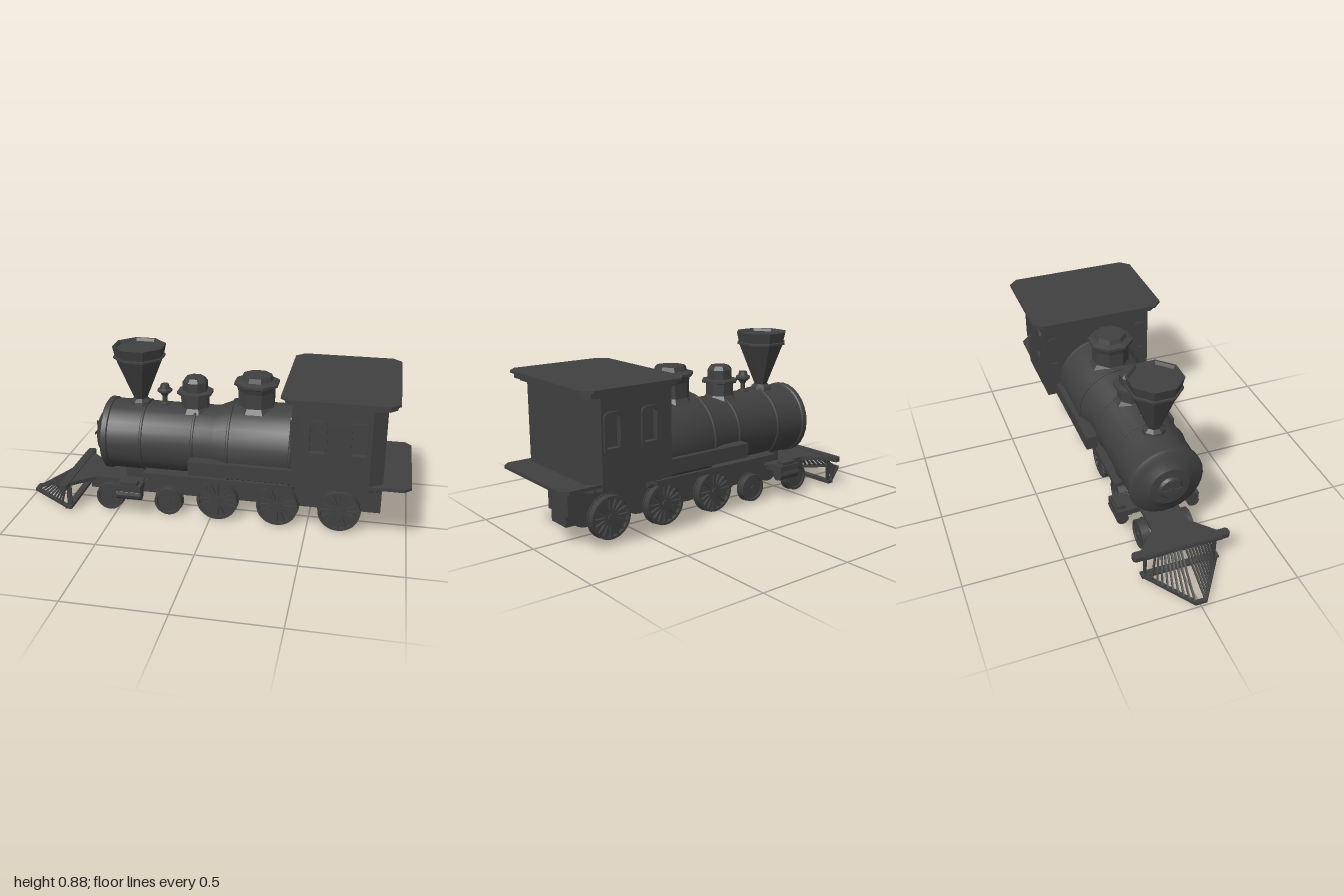
import * as THREE from 'three';
import { toCreasedNormals } from 'three/addons/utils/BufferGeometryUtils.js';

const iron = new THREE.MeshStandardMaterial({ color: 0x404040, side: THREE.DoubleSide });
const flatIron = new THREE.MeshStandardMaterial({ color: 0x404040, side: THREE.DoubleSide, flatShading: true });

export function createModel() {
  const model = new THREE.Group();

  const add = (name, geo, x = 0, y = 0, z = 0, mat = flatIron, parent = model) => {
    const m = new THREE.Mesh(geo, mat);
    m.name = name;
    m.position.set(x, y, z);
    parent.add(m);
    return m;
  };
  // Box given by its limits
  const box = (name, x0, x1, y0, y1, z0, z1) =>
    add(name, new THREE.BoxGeometry(x1 - x0, y1 - y0, z1 - z0), (x0 + x1) / 2, (y0 + y1) / 2, (z0 + z1) / 2);
  // Straight bar between two points
  const bar = (name, a, b, w, h = w) => {
    const A = new THREE.Vector3(...a), B = new THREE.Vector3(...b);
    const m = add(name, new THREE.BoxGeometry(w, h, A.distanceTo(B)));
    m.position.copy(A).lerp(B, 0.5);
    m.lookAt(B);
    return m;
  };
  // Horizontal plate: half outline [x, z] mirrored over z, between two heights
  const plate = (name, half, y0, y1) => {
    const pts = [...half, ...half.slice().reverse().map(([x, z]) => [x, -z])];
    const shape = new THREE.Shape(pts.map(([x, z]) => new THREE.Vector2(x, z)));
    const geo = new THREE.ExtrudeGeometry(shape, { depth: y1 - y0, bevelEnabled: false });
    return add(name, geo.rotateX(Math.PI / 2), 0, y1, 0);
  };
  // Rectangle with cut corners
  const cutPlate = (name, x0, x1, z, c, y0, y1) =>
    plate(name, [[x0, z - c], [x0 + c, z], [x1 - c, z], [x1, z - c]], y0, y1);
  // Upright turned part with eight flat sides
  const turned = (name, profile, x) =>
    add(name, new THREE.LatheGeometry(profile.map(p => new THREE.Vector2(p[0] * 1.08, p[1])), 8).rotateY(Math.PI / 8), x);

  // Boiler, turned around the long axis: [radius, x]
  const boilerProfile = [[0, 0.43], [0.215, 0.43], [0.215, 0.1], [0.181, 0.02], [0.181, -0.525], [0.188, -0.53],
    [0.188, -0.555], [0.175, -0.565], [0.15, -0.572], [0.11, -0.595], [0.1, -0.602], [0.06, -0.605], [0.05, -0.617], [0, -0.617]];
  const boiler = new THREE.LatheGeometry(boilerProfile.map(([r, x]) => new THREE.Vector2(r, -x)), 28).rotateZ(Math.PI / 2);
  add('boiler', toCreasedNormals(boiler, 0.5), 0, 0.4, 0, iron);
  for (const [x, r] of [[-0.35, 0.181], [-0.085, 0.181], [0.1, 0.215], [0.41, 0.215]])
    add('boilerBand', new THREE.TorusGeometry(r, 0.008, 6, 28).rotateY(Math.PI / 2), x, 0.4, 0, iron);
  box('doorSpindle', -0.632, -0.61, 0.393, 0.407, -0.007, 0.007);
  box('doorHandle', -0.632, -0.627, 0.35, 0.455, -0.005, 0.005);
  box('doorHandle', -0.632, -0.627, 0.395, 0.405, -0.05, 0.05);

  // Chimney, domes and bell
  turned('chimney', [[0.055, 0.565], [0.05, 0.59], [0.032, 0.605], [0.113, 0.82], [0.123, 0.822], [0.123, 0.832],
    [0.116, 0.834], [0.125, 0.877], [0.127, 0.885], [0.118, 0.885], [0.11, 0.87], [0, 0.87]], -0.388);
  turned('sandDome', [[0.085, 0.56], [0.068, 0.585], [0.068, 0.645], [0.087, 0.65], [0.087, 0.663], [0.06, 0.668],
    [0.06, 0.715], [0.045, 0.735], [0, 0.735]], -0.1);
  turned('steamDome', [[0.105, 0.59], [0.088, 0.615], [0.088, 0.69], [0.095, 0.715], [0.108, 0.722], [0.108, 0.735],
    [0.078, 0.745], [0.07, 0.768], [0, 0.768]], 0.215);
  turned('bell', [[0.025, 0.57], [0.025, 0.585], [0.012, 0.592], [0.012, 0.62], [0.02, 0.635], [0.036, 0.648],
    [0.036, 0.658], [0.024, 0.665], [0.02, 0.685], [0, 0.685]], -0.26);

  // Main frame and running boards
  box('frameUpper', -0.34, 0.865, 0.15, 0.32, -0.09, 0.09);
  box('frameLower', -0.66, 0.865, 0.095, 0.165, -0.065, 0.065);
  box('footplate', -0.34, 0.43, 0.235, 0.26, -0.18, 0.18);
  box('frontSaddle', -0.46, -0.36, 0.16, 0.25, -0.07, 0.07);
  for (const s of [-1, 1]) {
    box('runningBoard', -0.09, 0.43, 0.3, 0.372, s * 0.21 - 0.03, s * 0.21 + 0.03);
    box('pipe', -0.34, 0.43, 0.195, 0.235, s * 0.08 - 0.01, s * 0.08 + 0.01);
  }

  // Cab core, floor and roof
  plate('cabBody', [[0.425, 0.268], [0.795, 0.268], [0.795, 0.29], [0.865, 0.245]], 0.31, 0.745);
  cutPlate('cabFloor', 0.425, 1, 0.287, 0.035, 0.33, 0.345);
  cutPlate('cabUnderside', 0.425, 0.865, 0.27, 0.03, 0.307, 0.33);
  cutPlate('roofCornice', 0.41, 0.885, 0.308, 0.03, 0.733, 0.745);
  cutPlate('roofMoulding', 0.39, 0.905, 0.33, 0.035, 0.745, 0.77);
  cutPlate('roof', 0.372, 0.918, 0.355, 0.045, 0.768, 0.78);

  // Arched window outline
  const arch = (C, cx, w, y0, y1) => {
    const p = new C();
    p.moveTo(cx - w, y0);
    p.lineTo(cx + w, y0);
    p.lineTo(cx + w, y1 - w * 0.6);
    p.quadraticCurveTo(cx + w, y1, cx + w * 0.3, y1);
    p.lineTo(cx - w * 0.3, y1);
    p.quadraticCurveTo(cx - w, y1, cx - w, y1 - w * 0.6);
    p.closePath();
    return p;
  };
  const flat = depth => ({ depth, bevelEnabled: false, curveSegments: 4 });
  const windowFrame = (cx, w, y0, y1) => {
    const s = arch(THREE.Shape, cx, w, y0, y1);
    s.holes.push(arch(THREE.Path, cx, w - 0.012, y0 + 0.012, y1 - 0.012));
    return new THREE.ExtrudeGeometry(s, flat(0.014));
  };
  const wall = new THREE.Shape();
  wall.moveTo(0.425, 0.31).lineTo(0.8, 0.31).lineTo(0.8, 0.745).lineTo(0.425, 0.745).closePath();
  for (const cx of [0.547, 0.743]) wall.holes.push(arch(THREE.Path, cx, 0.036, 0.5, 0.655));
  for (const s of [-1, 1]) {
    add('cabSideWall', new THREE.ExtrudeGeometry(wall, flat(0.024)), 0, 0, s * 0.278 - 0.012);
    for (const cx of [0.547, 0.743])
      add('sideWindowFrame', windowFrame(cx, 0.047, 0.49, 0.665), 0, 0, s * 0.294 - 0.007);
    add('frontWindowFrame', windowFrame(s * 0.245, 0.03, 0.5, 0.665).rotateY(-Math.PI / 2), 0.43);
  }

  // Wheels
  const wheel = (name, x, r, s, spokes) => {
    const g = new THREE.Group();
    g.name = name;
    g.position.set(x, r + 0.005, 0);
    if (s < 0) g.rotation.y = Math.PI;
    model.add(g);
    const disc = (n, rad, z0, z1, seg = 24) =>
      add(n, new THREE.CylinderGeometry(rad, rad, z1 - z0, seg).rotateX(Math.PI / 2), 0, 0, (z0 + z1) / 2, flatIron, g);
    disc('flange', r, 0.092, 0.099);
    disc('web', r - 0.01, 0.099, 0.118);
    const rim = new THREE.Shape().absarc(0, 0, r - 0.005, 0, Math.PI * 2);
    rim.holes.push(new THREE.Path().absarc(0, 0, r - 0.018, 0, Math.PI * 2));
    add('rim', new THREE.ExtrudeGeometry(rim, { depth: 0.036, bevelEnabled: false, curveSegments: 24 }), 0, 0, 0.099, flatIron, g);
    disc('hub', r * 0.18, 0.11, 0.138, 12);
    if (!spokes) disc('cap', r * 0.72, 0.11, 0.13);
    for (let i = 0; i < spokes; i++) {
      const a = i / spokes * Math.PI * 2;
      const m = add('spoke', new THREE.BoxGeometry(r - 0.015, 0.012, 0.016), 0, 0, 0.124, flatIron, g);
      m.position.x = Math.cos(a) * r / 2;
      m.position.y = Math.sin(a) * r / 2;
      m.rotation.z = a;
    }
  };
  for (const s of [-1, 1]) {
    for (const x of [0.037, 0.348, 0.66]) wheel('drivingWheel', x, 0.111, s, 16);
    for (const x of [-0.538, -0.222]) wheel('leadingWheel', x, 0.077, s, 0);
    // Steam cylinders
    add('steamCylinder', new THREE.CylinderGeometry(0.031, 0.031, 0.13, 12).rotateZ(Math.PI / 2), -0.41, 0.142, s * 0.187);
    box('valveChest', -0.475, -0.345, 0.16, 0.193, s * 0.177 - 0.038, s * 0.177 + 0.038);
    box('valveCover', -0.455, -0.365, 0.193, 0.21, s * 0.187 - 0.022, s * 0.187 + 0.022);
    box('cylinderBracket', -0.46, -0.36, 0.15, 0.18, s * 0.1 - 0.045, s * 0.1 + 0.045);
  }

  // Front deck and buffer beam
  plate('frontDeck', [[-0.78, 0.2], [-0.735, 0.2], [-0.62, 0.095], [-0.34, 0.09]], 0.155, 0.174);
  cutPlate('bufferBeam', -0.775, -0.732, 0.245, 0.01, 0.153, 0.178);

  // Cowcatcher
  box('catcherRearBar', -0.765, -0.73, 0.02, 0.035, -0.198, 0.198);
  for (const s of [-1, 1]) {
    box('catcherPost', -0.758, -0.732, 0.03, 0.16, s * 0.178 - 0.004, s * 0.178 + 0.004);
    bar('catcherBaseBar', [-0.75, 0.027, s * 0.188], [-0.992, 0.027, s * 0.022], 0.02, 0.014);
    for (let i = 0; i < 9; i++) {
      const t = (i + 0.3) / 9;
      bar('catcherSlat', [-0.99 + 0.21 * t, 0.03, s * (0.02 + 0.155 * t)], [-0.77, 0.165, s * (0.008 + 0.14 * t)], 0.009, 0.009);
    }
  }
  box('catcherNose', -1, -0.98, 0.02, 0.035, -0.03, 0.03);

  return model;
}
